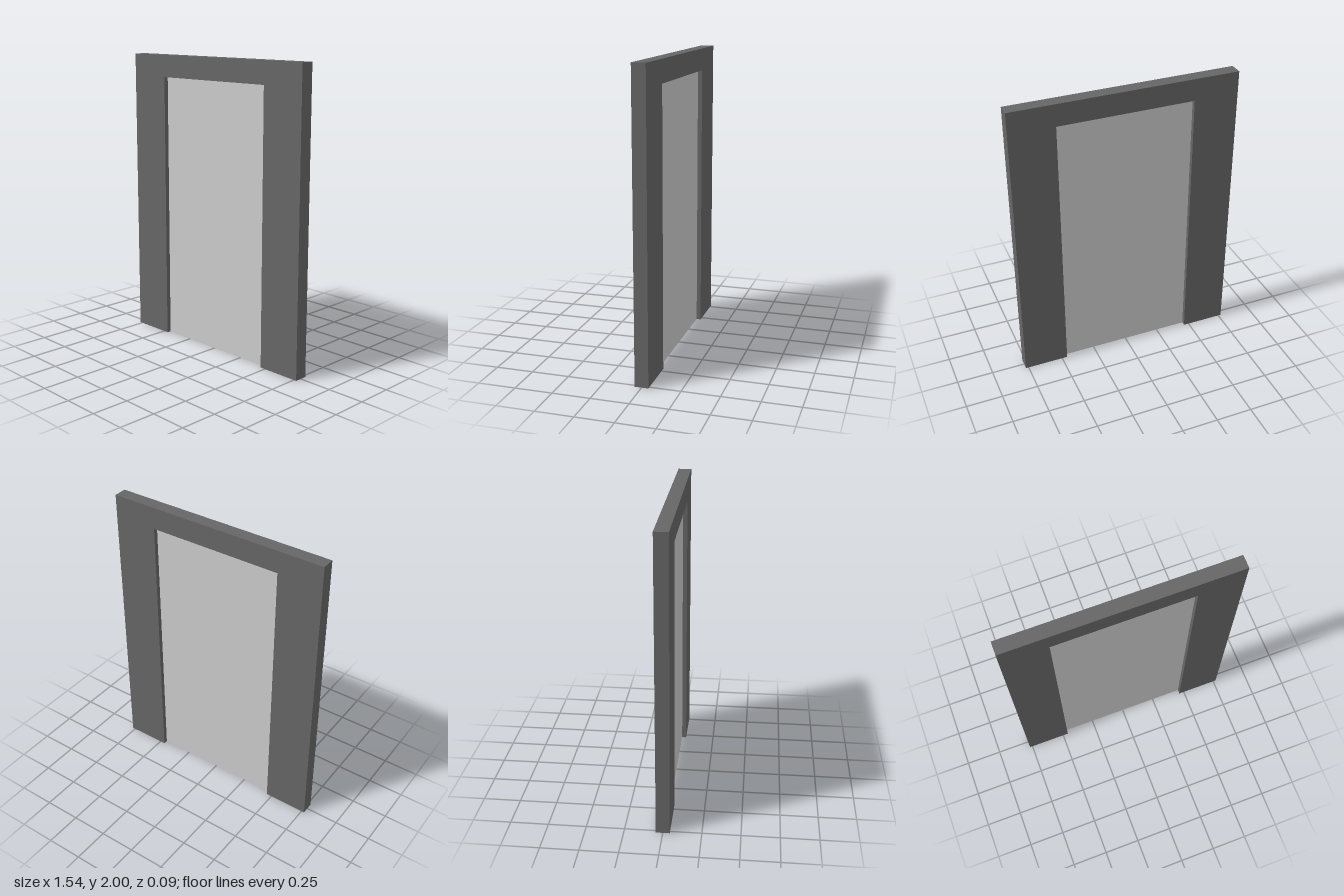
import * as THREE from 'three';

export function createModel() {
  const group = new THREE.Group();
  const outerX = 0.77, innerX = 0.463, height = 2, openingTop = 1.85;
  const frameDepth = 0.09, panelDepth = 0.03;

  // Door surround: two jambs and a header as one U-shaped outline
  const outline = new THREE.Shape([
    [-outerX, 0], [-innerX, 0], [-innerX, openingTop], [innerX, openingTop],
    [innerX, 0], [outerX, 0], [outerX, height], [-outerX, height],
  ].map(([x, y]) => new THREE.Vector2(x, y)));
  const frameGeometry = new THREE.ExtrudeGeometry(outline, { depth: frameDepth, bevelEnabled: false });
  frameGeometry.translate(0, 0, -frameDepth / 2);
  const frame = new THREE.Mesh(frameGeometry, new THREE.MeshStandardMaterial({ color: 0x666666 }));
  frame.name = 'doorFrame';
  group.add(frame);

  // Thin door leaf recessed in the middle of the frame
  const panel = new THREE.Mesh(
    new THREE.BoxGeometry(innerX * 2, openingTop, panelDepth),
    new THREE.MeshStandardMaterial({ color: 0xcccccc }),
  );
  panel.name = 'doorPanel';
  panel.position.y = openingTop / 2;
  group.add(panel);

  return group;
}
